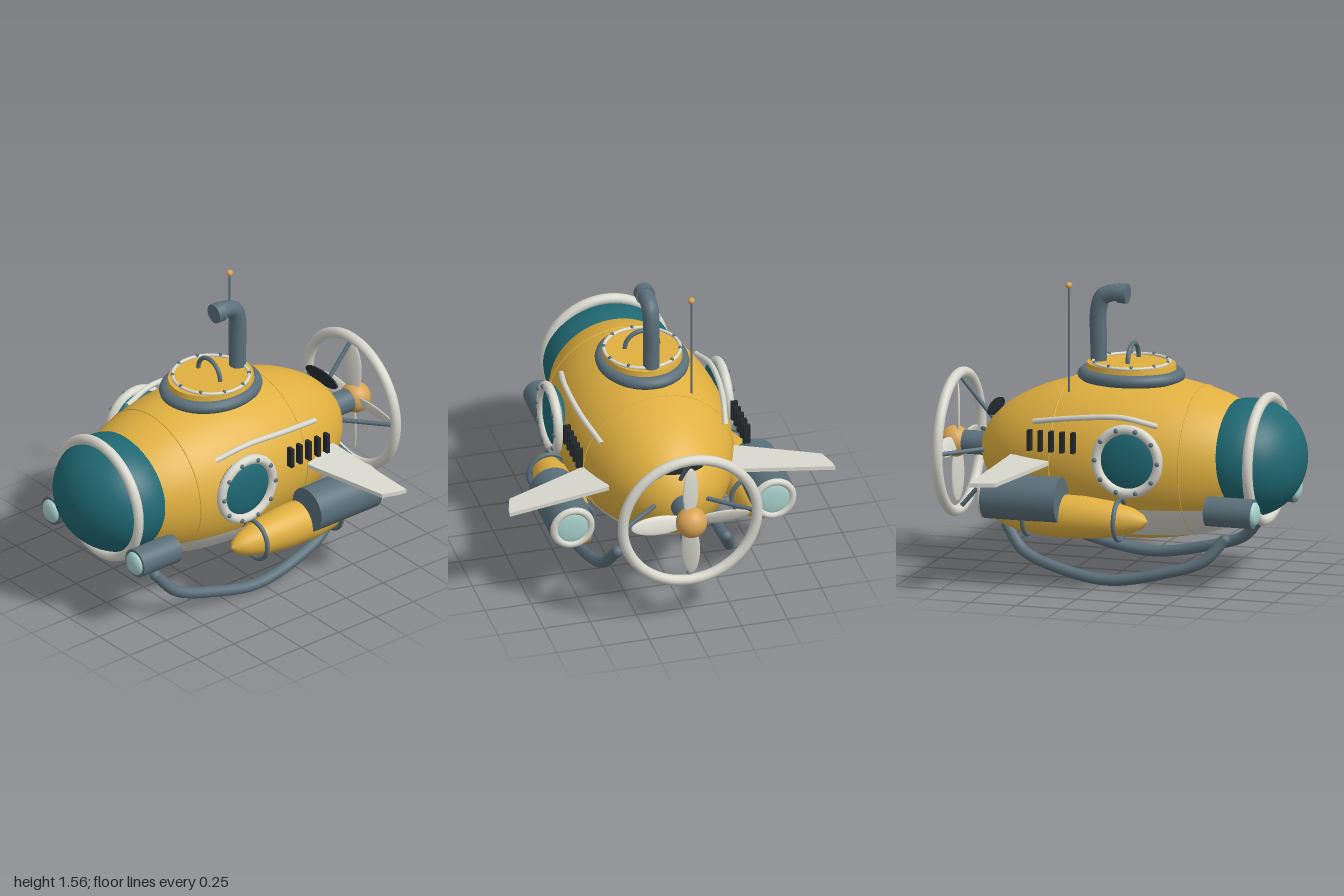
import * as THREE from 'three';

const mat = (name, color, side = THREE.FrontSide) => {
  const m = new THREE.MeshStandardMaterial({ color, side });
  m.name = name;
  return m;
};

export function createModel() {
  const yellow = mat('hull yellow', 0xe0b040);
  const teal = mat('teal glass', 0x1f6873);
  const white = mat('off white', 0xd8d7cd);
  const whiteSheet = mat('belly white', 0xd8d7cd, THREE.DoubleSide);
  const slate = mat('slate metal', 0x5a6f7a);
  const brass = mat('brass', 0xd9a355);
  const lens = mat('pale lens', 0xa9d2cd);
  const black = mat('dark trim', 0x23292d);

  const model = new THREE.Group();
  model.name = 'submarine';
  const V = (x, y, z) => new THREE.Vector3(x, y, z);

  function add(name, geo, material, x = 0, y = 0, z = 0) {
    const m = new THREE.Mesh(geo, material);
    m.name = name;
    m.position.set(x, y, z);
    model.add(m);
    return m;
  }
  const ellipsoid = (rx, ry, rz, n = 32) =>
    new THREE.SphereGeometry(1, n, Math.max(8, n * 0.75)).scale(rx, ry, rz);
  const ring = (r, t, n = 56) => new THREE.TorusGeometry(r, t, 12, n);
  // cylinder running along z
  const barrel = (r, len) => new THREE.CylinderGeometry(r, r, len, 36).rotateX(Math.PI / 2);
  const pipe = (pts, r, n = 48) =>
    new THREE.TubeGeometry(new THREE.CatmullRomCurve3(pts), n, r, 12);
  function rod(name, a, b, r, material) {
    const m = add(name, new THREE.CylinderGeometry(r, r, a.distanceTo(b), 12), material);
    m.position.copy(a).lerp(b, 0.5);
    m.quaternion.setFromUnitVectors(V(0, 1, 0), b.clone().sub(a).normalize());
    return m;
  }

  // Hull
  const HY = 0.635, HZ = 0.08, HR = 0.43, HL = 0.84, WX = 1.04;
  const hullR = z => HR * Math.sqrt(Math.max(0, 1 - ((z - HZ) / HL) ** 2));
  add('hull', ellipsoid(HR * WX, HR, HL, 64), yellow, 0, HY, HZ);
  for (const z of [0.44, -0.27]) {
    add('hullSeam', ring(hullR(z), 0.004, 72).scale(WX, 1, 1), yellow, 0, HY, z);
  }

  // White belly panels, leaving a yellow keel oval between them
  function bellyPanel(s) {
    const pos = [], idx = [], nz = 48, na = 10;
    for (let i = 0; i <= nz; i++) {
      const z = -0.635 + (i / nz) * 1.315, R = hullR(z) * 1.01;
      const keel = 0.23 * Math.sqrt(Math.max(0, 1 - ((z - 0.09) / 0.39) ** 2));
      const a0 = Math.asin(keel / (WX * R));
      const a1 = Math.acos(Math.min(1, (HY - 0.43) / R));
      for (let j = 0; j <= na; j++) {
        const a = a0 + (a1 - a0) * j / na;
        pos.push(s * WX * R * Math.sin(a), HY - R * Math.cos(a), z);
        if (i < nz && j < na) {
          const k = i * (na + 1) + j, l = k + na + 1;
          if (s > 0) idx.push(k, k + 1, l, l, k + 1, l + 1);
          else idx.push(k, l, k + 1, l, l + 1, k + 1);
        }
      }
    }
    const g = new THREE.BufferGeometry();
    g.setAttribute('position', new THREE.Float32BufferAttribute(pos, 3));
    g.setIndex(idx);
    g.computeVertexNormals();
    return g;
  }

  // Nose dome and its collar
  add('noseDome', ellipsoid(0.347, 0.31, 0.3, 56), teal, 0, 0.664, 0.7);
  add('noseCollar', ring(0.322, 0.028, 72), white, 0, 0.662, 0.795);

  // Top hatch
  const hz = 0.05;
  add('hatchCollar', ring(0.21, 0.034).rotateX(Math.PI / 2).scale(1, 1, 1.17), slate, 0, 1.065, hz);
  add('hatchLid', new THREE.CylinderGeometry(0.205, 0.215, 0.07, 56).scale(1, 1, 1.14), yellow, 0, 1.092, hz);
  add('hatchRing', ring(0.2, 0.009).rotateX(Math.PI / 2), white, 0, 1.131, hz);
  for (let i = 0; i < 10; i++) {
    const a = (i / 10) * Math.PI * 2;
    add('hatchBolt', ellipsoid(0.01, 0.01, 0.01, 10), slate, 0.2 * Math.sin(a), 1.138, hz + 0.2 * Math.cos(a));
  }
  add('hatchHandle', new THREE.TorusGeometry(0.09, 0.012, 10, 28, Math.PI), slate, 0, 1.138, 0.06);

  // Periscope and antenna
  add('periscope', pipe([V(0, 1.0, -0.13), V(0, 1.2, -0.13), V(0, 1.4, -0.13), V(0, 1.465, -0.108),
    V(0, 1.49, -0.05), V(0, 1.49, 0.01)], 0.045), slate);
  add('periscopeHead', barrel(0.052, 0.05), slate, 0, 1.49, 0.005);
  rod('antenna', V(-0.19, 0.98, -0.23), V(-0.19, 1.55, -0.23), 0.006, slate);
  add('antennaTip', ellipsoid(0.018, 0.018, 0.018, 16), brass, -0.19, 1.555, -0.23);

  // Parts on both sides
  for (const s of [1, -1]) {
    add('bellyPanel', bellyPanel(s), whiteSheet);

    // porthole
    add('portholeGlass', ellipsoid(0.05, 0.172, 0.172, 36), teal, s * 0.435, 0.7, 0.18);
    add('portholeFrame', ring(0.17, 0.026).rotateY(Math.PI / 2), white, s * 0.462, 0.7, 0.18);
    for (let i = 0; i < 10; i++) {
      const a = ((i + 0.5) / 10) * Math.PI * 2;
      add('portholeBolt', ellipsoid(0.012, 0.013, 0.013, 10), slate,
        s * 0.486, 0.7 + 0.172 * Math.cos(a), 0.18 + 0.172 * Math.sin(a));
    }

    // vent slots and hand rail
    for (let i = 0; i < 5; i++) {
      add('ventSlot', new THREE.BoxGeometry(0.036, 0.11, 0.02), black, s * 0.452, 0.775, -0.12 - i * 0.06);
    }
    add('handRail', pipe([V(s * 0.365, 0.875, 0.315), V(s * 0.395, 0.915, 0.13),
      V(s * 0.385, 0.895, -0.12), V(s * 0.335, 0.85, -0.375)], 0.015), white);

    // ballast pod with straps
    const pod = [[0, -0.56], [0.05, -0.52], [0.092, -0.4], [0.114, -0.22], [0.112, -0.05],
      [0.096, 0.1], [0.065, 0.22], [0.035, 0.275], [0, 0.3]].map(p => new THREE.Vector2(...p));
    add('ballastPod', new THREE.LatheGeometry(pod, 36).rotateX(Math.PI / 2), yellow, s * 0.48, 0.39, 0);
    for (const z of [0.145, -0.355]) {
      add('podStrap', ring(0.108, 0.012, 40), slate, s * 0.48, 0.39, z);
    }

    // thruster
    add('thruster', barrel(0.12, 0.41), slate, s * 0.545, 0.487, -0.36);
    add('thrusterRim', ring(0.1, 0.02, 40), white, s * 0.545, 0.487, -0.566);
    add('thrusterLens', ellipsoid(0.088, 0.088, 0.015, 28), lens, s * 0.545, 0.487, -0.568);

    // tail fin, drooping towards the tip
    const outline = new THREE.Shape([[0.33, -0.505], [0.7, -0.535], [0.88, -0.55], [0.872, -0.5],
      [0.845, -0.415], [0.445, -0.28], [0.33, -0.245]].map(p => new THREE.Vector2(s * p[0], p[1])));
    const fin = new THREE.ExtrudeGeometry(outline, { depth: 0.022, bevelEnabled: false }).rotateX(Math.PI / 2);
    const p = fin.attributes.position;
    for (let i = 0; i < p.count; i++) p.setY(i, p.getY(i) + 0.655 - (Math.abs(p.getX(i)) - 0.45) * 0.085);
    fin.computeVertexNormals();
    add('sideFin', fin, white);

    // headlamp
    add('headlamp', barrel(0.078, 0.255), slate, s * 0.348, 0.44, 0.712);
    add('headlampLens', ellipsoid(0.063, 0.063, 0.028, 28), lens, s * 0.348, 0.44, 0.84);

    // landing skid, splayed outwards
    const skid = [[0.28, 0.66], [0.165, 0.555], [0.09, 0.33], [0.042, 0.05], [0.085, -0.23], [0.16, -0.43], [0.28, -0.535]];
    const path = skid.map(([y, z]) => V(s * (0.295 + (0.28 - y) * 0.36), y, z));
    add('skid', pipe(path, 0.03, 64), slate);
    for (const end of [path[0], path[6]]) {
      add('skidEnd', ellipsoid(0.03, 0.03, 0.03, 14), slate, end.x, end.y, end.z);
    }
  }

  // Tail: shaft, guard ring, struts and propeller
  const ty = 0.64;
  add('propellerShaft', barrel(0.063, 0.2), slate, 0, ty, -0.78);
  add('guardRing', ring(0.363, 0.028, 72), white, 0, ty, -0.897);
  add('propellerHub', ellipsoid(0.083, 0.083, 0.08), brass, 0, ty, -0.92);
  for (let i = 0; i < 4; i++) {
    const a = (i * Math.PI) / 2, c = Math.cos(a), n = Math.sin(a);
    rod('guardStrut', V(0.14 * n, ty + 0.14 * c, -0.71), V(0.35 * n, ty + 0.35 * c, -0.89), 0.012, slate);
    const blade = ellipsoid(0.05, 0.15, 0.012, 24).rotateY(0.4).translate(0, 0.17, 0);
    add('propellerBlade', blade, white, 0, ty, -0.905).rotation.z = a;
  }

  // Small tail plate
  add('tailPlate', new THREE.CylinderGeometry(1, 1, 0.009, 32).rotateX(Math.PI / 2).scale(0.13, 0.04, 1),
    black, 0, 0.842, -0.694);

  return model;
}
